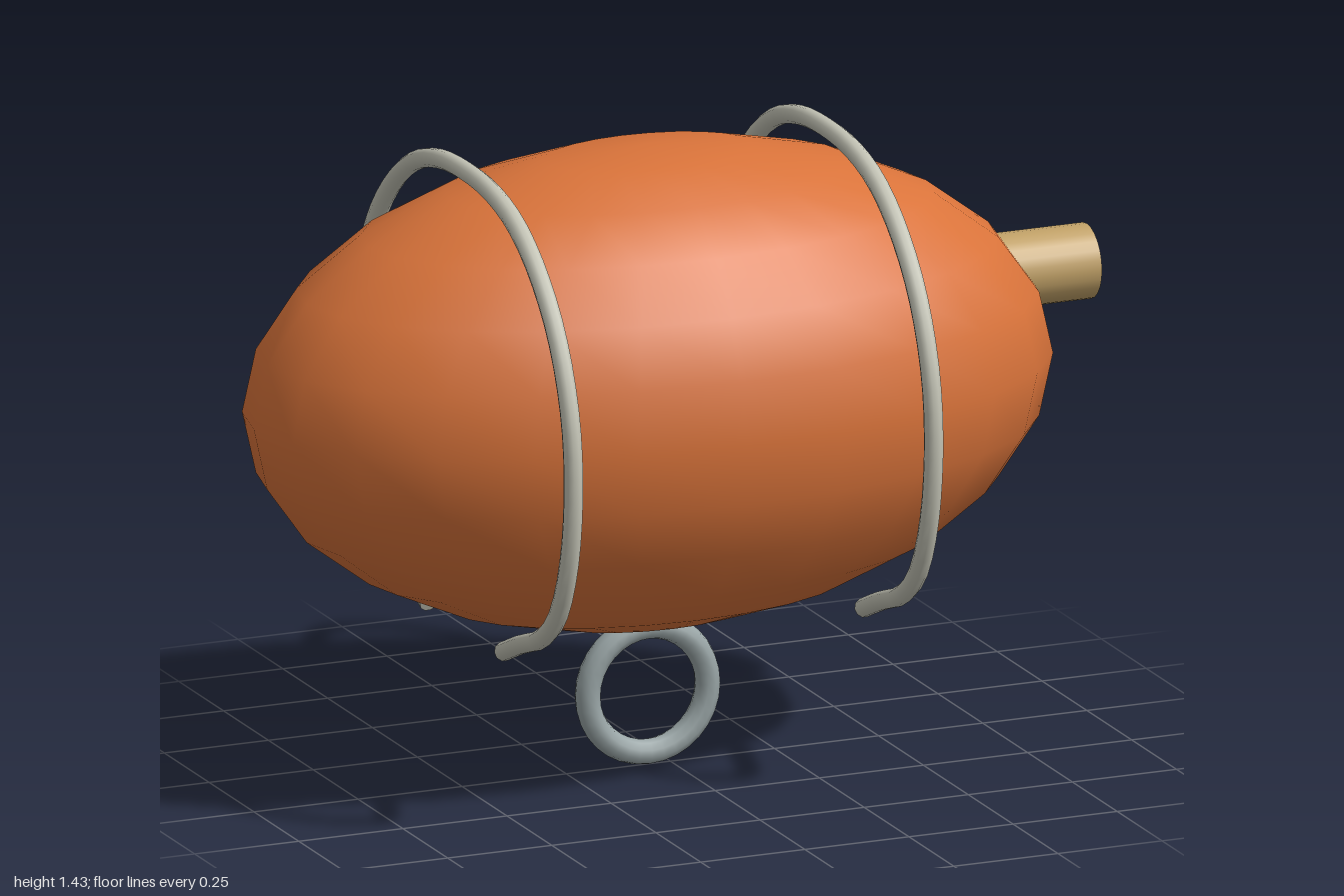
import * as THREE from 'three';

const mat = (name, color) => new THREE.MeshStandardMaterial({ name, color });

export function createModel() {
  const group = new THREE.Group();
  const orange = mat('orange', 0xd9733a);
  const wood = mat('wood', 0xc2a268);
  const wire = mat('paleWire', 0xc3c3b5);
  const steel = mat('steel', 0x99a5a6);

  const add = (name, geometry, material, x, y, z = 0) => {
    const mesh = new THREE.Mesh(geometry, material);
    mesh.name = name;
    mesh.position.set(x, y, z);
    group.add(mesh);
    return mesh;
  };

  // Egg-shaped body
  const body = new THREE.SphereGeometry(1, 24, 12);
  body.scale(0.945, 0.548, 0.548);
  add('body', body, orange, -0.055, 0.878);

  // Plug sticking out of the left end
  const plug = new THREE.CylinderGeometry(0.085, 0.085, 0.36, 24);
  plug.rotateZ(-Math.PI / 2);
  add('plug', plug, wood, 0.82, 1.035);

  // Hanging ring under the body
  add('ring', new THREE.TorusGeometry(0.144, 0.029, 10, 32), steel, -0.055, 0.173);

  // Open wire clips: half profile as [z, y] from the loose end to the crown, mirrored
  const half = [[0.207, 0.365], [0.31, 0.41], [0.42, 0.452], [0.506, 0.522], [0.57, 0.655],
    [0.597, 0.83], [0.58, 1.0], [0.507, 1.165], [0.4, 1.285], [0.28, 1.363], [0.15, 1.402]];
  const profile = [...half, [0, 1.413], ...half.map(([z, y]) => [-z, y]).reverse()];
  const path = new THREE.CatmullRomCurve3(profile.map(([z, y]) => new THREE.Vector3(0, y, z)));
  const clip = new THREE.TubeGeometry(path, 64, 0.022, 10);
  const ends = [[0, -1], [1, 1]].map(([t, s]) => {
    const cap = new THREE.CircleGeometry(0.022, 10);
    const dir = path.getTangentAt(t).multiplyScalar(s);
    cap.applyQuaternion(new THREE.Quaternion().setFromUnitVectors(new THREE.Vector3(0, 0, 1), dir));
    const p = path.getPointAt(t);
    return cap.translate(p.x, p.y, p.z);
  });
  for (const [side, x] of [['right', -0.49], ['left', 0.375]]) {
    add(side + 'Clip', clip, wire, x, 0);
    ends.forEach((cap, i) => add(side + 'ClipEnd' + (i + 1), cap, wire, x, 0));
  }

  return group;
}
